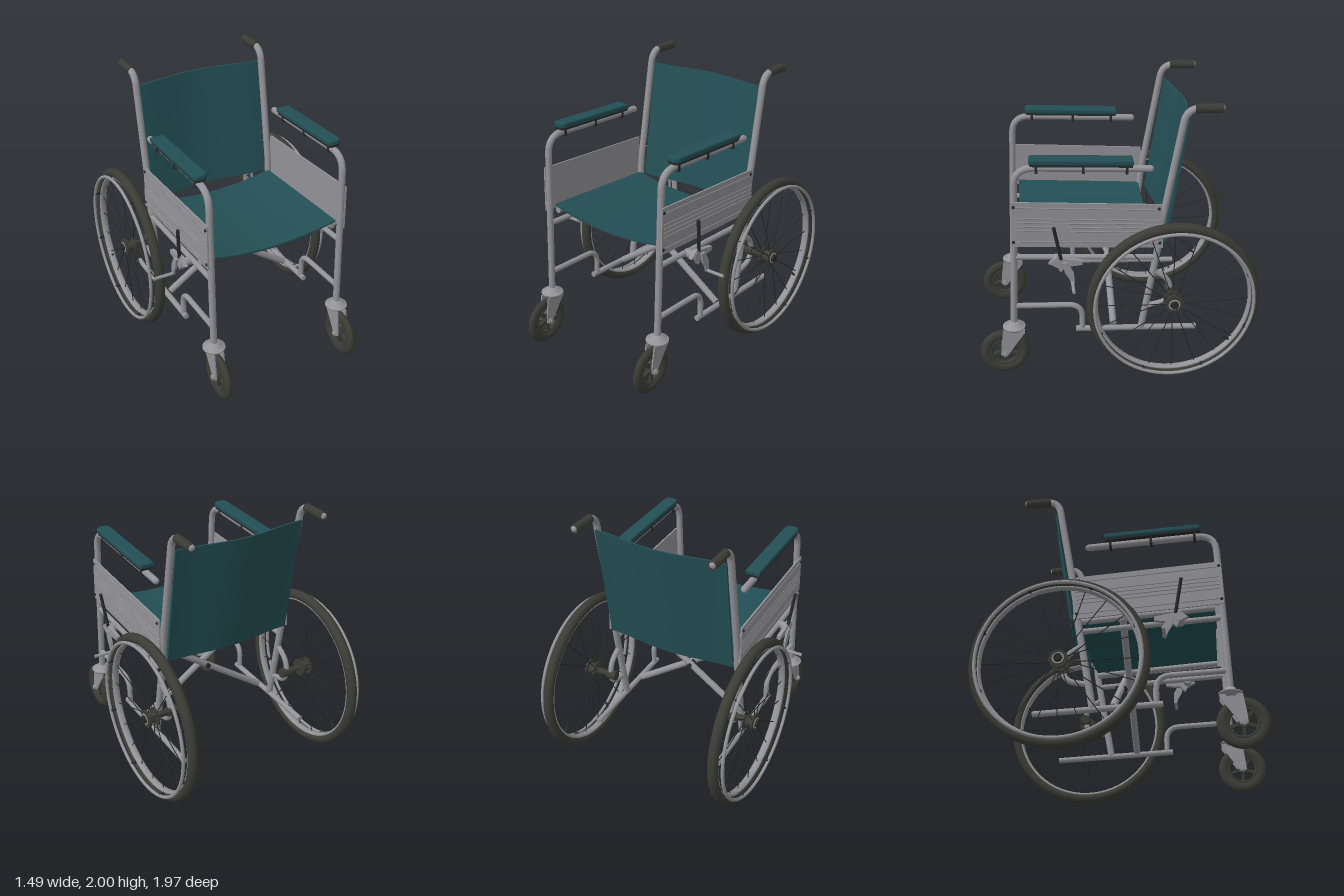
import * as THREE from 'three';

const mat = (name, color) => Object.assign(new THREE.MeshStandardMaterial({ color }), { name });

export function createModel() {
  const steel = mat('steel', 0x939297), rubber = mat('rubber', 0x3c3c36);
  const fabric = mat('teal upholstery', 0x23505a), dark = mat('dark metal', 0x29292a);
  fabric.color.set(0x234f55);
  const model = new THREE.Group();
  model.name = 'wheelchair';
  const V = (x, y, z) => new THREE.Vector3(x, y, z);

  const add = (parent, name, geo, material, x = 0, y = 0, z = 0) => {
    const m = new THREE.Mesh(geo, material);
    m.name = name;
    m.position.set(x, y, z);
    parent.add(m);
    return m;
  };

  // Round rod between two points
  const rod = (parent, name, a, b, r, material, sides = 12) => {
    const m = add(parent, name, new THREE.CylinderGeometry(r, r, a.distanceTo(b), sides), material);
    m.position.copy(a).lerp(b, 0.5);
    m.quaternion.setFromUnitVectors(V(0, 1, 0), b.clone().sub(a).normalize());
    return m;
  };

  // Bent tube through corner points, each corner rounded by the given length
  const bentTube = (parent, name, pts, r, bend, material = steel) => {
    const path = new THREE.CurvePath();
    let from = pts[0];
    for (let i = 1; i < pts.length - 1; i++) {
      const p = pts[i];
      const towards = q => p.clone().add(q.clone().sub(p).setLength(Math.min(bend, p.distanceTo(q) * 0.49)));
      const a = towards(pts[i - 1]), b = towards(pts[i + 1]);
      path.add(new THREE.LineCurve3(from, a));
      path.add(new THREE.QuadraticBezierCurve3(a, p, b));
      from = b;
    }
    const end = pts[pts.length - 1];
    path.add(new THREE.LineCurve3(from, end));
    add(parent, name, new THREE.TubeGeometry(path, 64, r, 12), material);
    for (const p of [pts[0], end]) add(parent, name + 'End', new THREE.SphereGeometry(r, 12, 8), material, p.x, p.y, p.z);
  };

  // Solid whose outline is given as [z, y] pairs, with thickness along x
  const sidePlate = (parent, name, zy, x, thick, material) => {
    const shape = new THREE.Shape(zy.map(([z, y]) => new THREE.Vector2(-z, y)));
    const geo = new THREE.ExtrudeGeometry(shape, { depth: thick, bevelEnabled: false });
    geo.translate(0, 0, -thick / 2).rotateY(Math.PI / 2);
    return add(parent, name, geo, material, x);
  };

  // Ring and disc geometries that turn about the x axis
  const ring = (R, r, width = r, seg = 64) =>
    new THREE.TorusGeometry(R, r, 12, seg).scale(1, 1, width / r).rotateY(Math.PI / 2);
  const disc = (r, w, sides = 24) => new THREE.CylinderGeometry(r, r, w, sides).rotateZ(Math.PI / 2);

  // Sagging seat
  const seat = new THREE.BoxGeometry(1.0, 0.014, 0.94, 20, 1, 4);
  let p = seat.attributes.position;
  for (let i = 0; i < p.count; i++) {
    const u = p.getX(i) / 0.5, z = p.getZ(i) + 0.19;
    p.setXYZ(i, p.getX(i), p.getY(i) + 1.08 - 0.06 * (1 - u * u) - 0.06 * (0.66 - z) / 0.94, z);
  }
  seat.computeVertexNormals();
  add(model, 'seat', seat, fabric);

  // Backrest, bowed to the rear
  const back = new THREE.BoxGeometry(0.99, 0.875, 0.014, 20, 6, 1);
  p = back.attributes.position;
  for (let i = 0; i < p.count; i++) {
    const u = p.getX(i) / 0.495, t = p.getY(i) / 0.875 + 0.5;
    const bow = 0.5 + 0.5 * Math.cos(u * Math.PI);
    p.setXYZ(i, p.getX(i), p.getY(i) + 1.4375, p.getZ(i) - 0.335 - 0.135 * t - (0.045 + 0.012 * t) * bow);
  }
  back.computeVertexNormals();
  add(model, 'backrest', back, fabric);

  // Folding cross brace
  for (const [s, z] of [[1, 0.025], [-1, -0.04]])
    rod(model, 'crossBrace', V(-0.48 * s, 1.0, z), V(0.48 * s, 0.345, z), 0.025, steel);
  rod(model, 'crossBracePivot', V(0, 0.673, 0.06), V(0, 0.673, -0.08), 0.018, dark);

  const buildFrame = (s) => {
    const g = new THREE.Group();
    g.name = s > 0 ? 'leftFrame' : 'rightFrame';
    model.add(g);
    const P = (z, y, x = 0.505) => V(s * x, y, z);
    bentTube(g, 'frontPostAndArm', [P(0.737, 0.4), P(0.685, 1.61), P(-0.22, 1.565)], 0.024, 0.13);
    bentTube(g, 'backPost', [P(-0.175, 0.34), P(-0.29, 1.0), P(-0.3, 1.13), P(-0.45, 1.975), P(-0.68, 1.975)], 0.025, 0.09);
    rod(g, 'handGrip', P(-0.505, 1.975), P(-0.69, 1.97), 0.03, rubber, 16);
    for (let i = 0; i < 4; i++) add(g, 'gripRib', new THREE.TorusGeometry(0.029, 0.004, 6, 16), rubber, s * 0.505, 1.972, -0.56 - i * 0.035);
    bentTube(g, 'lowerFrontTube', [P(0.72, 0.56), P(0.25, 0.54), P(0.25, 0.34)], 0.02, 0.1);
    rod(g, 'upperSideTube', P(0.7, 0.95), P(-0.28, 0.895), 0.02, steel);
    rod(g, 'bottomSideTube', P(0.295, 0.343), P(-0.575, 0.305), 0.021, steel);
    rod(g, 'seatRail', P(0.66, 1.045, 0.475), P(-0.28, 0.985, 0.475), 0.022, steel);
    bentTube(g, 'axleBracket', [P(-0.25, 0.79), P(-0.36, 0.72), P(-0.385, 0.617), P(-0.35, 0.53), P(-0.2, 0.5)], 0.02, 0.06);

    // Ribbed side panel
    sidePlate(g, 'sidePanel', [[0.715, 1.375], [-0.3, 1.31], [-0.315, 0.98], [0.725, 1.045]], s * 0.53, 0.012, steel);
    for (const y of [1.335, 1.255, 1.225, 1.195, 1.165, 1.085])
      rod(g, 'panelRib', P(0.7, y, 0.534), P(-0.3, y - 0.065, 0.534), 0.006, steel, 6);
    for (const [z, y] of [[0.7, 1.34], [0.71, 1.08], [-0.28, 1.28], [-0.29, 1.02]])
      add(g, 'panelScrew', disc(0.011, 0.008, 8), dark, s * 0.538, y, z);

    // Padded armrest on a dark base
    const padShape = (w, l, r) => {
      const a = new THREE.Shape();
      a.moveTo(-w, l).lineTo(-w, -l + r);
      a.quadraticCurveTo(-w, -l, -w + r, -l).lineTo(w - r, -l);
      a.quadraticCurveTo(w, -l, w, -l + r).lineTo(w, l);
      return a;
    };
    const pad = new THREE.Group();
    pad.name = 'armrest';
    pad.position.set(s * 0.505, 1.612, 0.245);
    pad.rotation.x = -0.05;
    g.add(pad);
    add(pad, 'armrestBase', new THREE.ExtrudeGeometry(padShape(0.045, 0.34, 0.03), { depth: 0.015, bevelEnabled: false }).rotateX(-Math.PI / 2), dark);
    add(pad, 'armrestPad', new THREE.ExtrudeGeometry(padShape(0.041, 0.335, 0.03),
      { depth: 0.016, bevelThickness: 0.012, bevelSize: 0.011, bevelSegments: 3 }).rotateX(-Math.PI / 2), fabric, 0, 0.024, 0);
    for (const z of [0.54, 0.23, -0.06])
      add(g, 'armrestClip', new THREE.BoxGeometry(0.056, 0.065, 0.018), dark, s * 0.505, 1.59 + (z - 0.23) * 0.05, z);

    // Brake with lever, shoe and cross pin
    rod(g, 'brakeClamp', P(0.42, 0.93, 0.5), P(0.42, 0.93, 0.6), 0.03, steel);
    sidePlate(g, 'brakePlate', [[0.48, 0.93], [0.42, 0.98], [0.36, 0.96], [0.25, 0.94], [0.25, 0.91], [0.36, 0.9], [0.4, 0.86], [0.42, 0.9]], s * 0.58, 0.03, steel);
    sidePlate(g, 'brakeShoe', [[0.39, 0.94], [0.35, 0.94], [0.31, 0.86], [0.305, 0.78], [0.33, 0.78], [0.345, 0.82], [0.37, 0.86]], s * 0.605, 0.016, steel);
    rod(g, 'brakePin', P(0.32, 0.785, 0.595), P(0.32, 0.785, 0.745), 0.012, steel);
    rod(g, 'brakeLever', P(0.395, 0.96, 0.59), P(0.44, 1.215, 0.615), 0.012, dark);

    // Rear wheel
    const w = new THREE.Group();
    w.name = 'rearWheel';
    w.position.set(s * 0.66, 0.617, -0.377);
    g.add(w);
    add(w, 'tire', ring(0.573, 0.036, 0.037), rubber);
    add(w, 'rim', ring(0.543, 0.014, 0.027), steel);
    add(w, 'handRim', ring(0.556, 0.012), steel, s * 0.064);
    add(w, 'hubBarrel', disc(0.042, 0.09), rubber);
    for (const x of [-0.032, 0.032]) add(w, 'hubFlange', disc(0.065, 0.014, 32), rubber, x);
    add(w, 'hubRing', ring(0.036, 0.006, 0.006, 24), steel, s * 0.043);
    add(w, 'hubNut', disc(0.028, 0.03, 6), dark, s * 0.05);
    for (let i = 0; i < 20; i++) {
      const a = i / 20 * Math.PI * 2, c = Math.cos(a), n = Math.sin(a);
      rod(w, 'spoke', V(i % 2 ? 0.03 : -0.03, c * 0.05, n * 0.05), V(0, c * 0.54, n * 0.54), 0.0035, dark, 6);
    }
    for (let i = 0; i < 8; i++) {
      const a = (i + 0.5) / 8 * Math.PI * 2, c = Math.cos(a) * 0.55, n = Math.sin(a) * 0.55;
      rod(w, 'handRimSpacer', V(s * 0.02, c, n), V(s * 0.066, c, n), 0.01, dark, 8);
    }
    rod(w, 'valve', V(0, -0.34, -0.41), V(s * 0.01, -0.305, -0.365), 0.009, dark, 8);
    rod(g, 'axle', P(-0.377, 0.617, 0.47), P(-0.377, 0.617, 0.64), 0.024, rubber);
    rod(g, 'axleCollar', P(-0.377, 0.617, 0.455), P(-0.377, 0.617, 0.53), 0.036, rubber, 16);

    // Front caster
    const c = new THREE.Group();
    c.name = 'caster';
    c.position.set(s * 0.505, 0.19, 0.81);
    g.add(c);
    add(c, 'casterTire', ring(0.137, 0.038, 0.027, 40), rubber);
    add(c, 'casterRim', ring(0.1, 0.012, 0.02, 40), rubber);
    add(c, 'casterHub', disc(0.036, 0.05), rubber);
    for (let i = 0; i < 5; i++) {
      const a = i / 5 * Math.PI * 2 + Math.PI;
      const spoke = add(c, 'casterSpoke', new THREE.BoxGeometry(0.024, 0.085, 0.024), rubber, 0, Math.cos(a) * 0.062, Math.sin(a) * 0.062);
      spoke.rotation.x = a;
    }
    add(c, 'casterAxle', disc(0.011, 0.12, 12), steel);
    for (const x of [-0.046, 0.046]) {
      add(c, 'axleNut', disc(0.022, 0.014, 6), steel, x);
      sidePlate(c, 'forkArm', [[0.005, 0.19], [-0.148, 0.19], [-0.148, 0.165], [-0.1, 0.1], [-0.02, -0.018], [0.005, -0.025], [0.03, -0.01], [0.025, 0.06]], x * 0.76, 0.01, steel);
    }
    const cup = [[0, 0], [0.05, 0], [0.055, 0.02], [0.08, 0.024], [0.08, 0.034], [0.05, 0.04], [0.03, 0.07], [0, 0.07]];
    add(c, 'casterCup', new THREE.LatheGeometry(cup.map(q => new THREE.Vector2(...q)), 28), steel, 0, 0.175, -0.073);
  };
  buildFrame(1);
  buildFrame(-1);
  return model;
}
